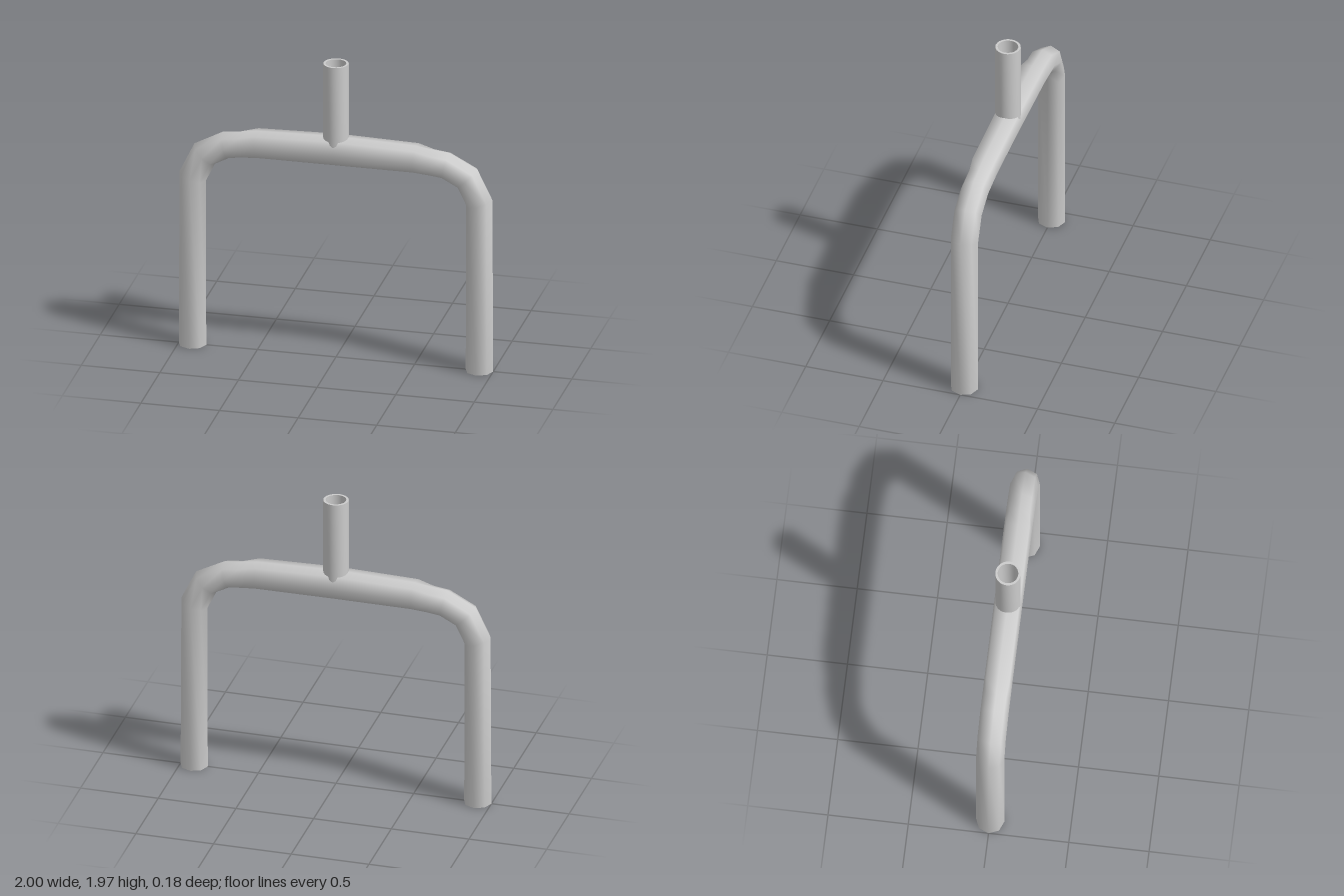
import * as THREE from 'three';
import { toCreasedNormals } from 'three/addons/utils/BufferGeometryUtils.js';

const SIDES = 8;
const DEPTH = 0.088; // half thickness of the tube in z
const material = new THREE.MeshStandardMaterial({ color: 0xcccccc });

// Half of the bent tube: outer x, y, inner x, y, squareness of the upper side
const half = [
  [-1, 0, -0.825, 0, 0],
  [-0.995, 1.15, -0.828, 1.1, 0],
  [-0.9, 1.345, -0.77, 1.22, 0],
  [-0.72, 1.44, -0.68, 1.268, 0],
  [-0.61, 1.452, -0.6, 1.278, 0.1],
  [-0.51, 1.466, -0.5, 1.285, 1],
  [0, 1.48, 0, 1.285, 1],
];
const stations = [
  ...half,
  ...half.slice(0, -1).reverse().map(([ox, oy, ix, iy, s]) => [-ox, oy, -ix, iy, s]),
];

// One cross-section, scaled about its own centre
function ring([ox, oy, ix, iy, square], scale) {
  const cx = (ox + ix) / 2, cy = (oy + iy) / 2;
  const points = [];
  for (let j = 0; j < SIDES; j++) {
    const a = (j / SIDES) * Math.PI * 2;
    let c = Math.cos(a), s = Math.sin(a);
    if (c > 0.1 && c < 0.9) { // shoulders of the flattened middle
      c += (0.88 - c) * square;
      s += Math.sign(s) * (0.82 - Math.abs(s)) * square;
    }
    points.push([cx + (ox - cx) * c * scale, cy + (oy - cy) * c * scale, DEPTH * s * scale]);
  }
  return points;
}

// Outer skin along the path, inner skin back again, joined at both rims
function frameGeometry() {
  const rings = [
    ...stations.map((st) => ring(st, 1)),
    ...[...stations].reverse().map((st) => ring(st, 0.86)),
  ];
  const index = [];
  for (let i = 0; i < rings.length; i++) {
    const n = (i + 1) % rings.length;
    for (let j = 0; j < SIDES; j++) {
      const k = (j + 1) % SIDES;
      const a = i * SIDES + j, b = i * SIDES + k;
      const c = n * SIDES + k, d = n * SIDES + j;
      index.push(a, b, d, b, c, d);
    }
  }
  const geometry = new THREE.BufferGeometry();
  geometry.setAttribute('position', new THREE.Float32BufferAttribute(rings.flat(2), 3));
  geometry.setIndex(index);
  return toCreasedNormals(geometry, 1.3);
}

// Hollow upright post
function stemGeometry() {
  const profile = [[0.064, 1.4], [0.079, 1.4], [0.079, 1.97], [0.064, 1.97], [0.064, 1.4]];
  const lathe = new THREE.LatheGeometry(profile.map(([r, y]) => new THREE.Vector2(r, y)), 24);
  return toCreasedNormals(lathe, 1.0);
}

export function createModel() {
  const group = new THREE.Group();
  group.name = 'forkTube';

  const frame = new THREE.Mesh(frameGeometry(), material);
  frame.name = 'bentFrame';

  const stem = new THREE.Mesh(stemGeometry(), material);
  stem.name = 'stem';

  group.add(frame, stem);
  return group;
}
